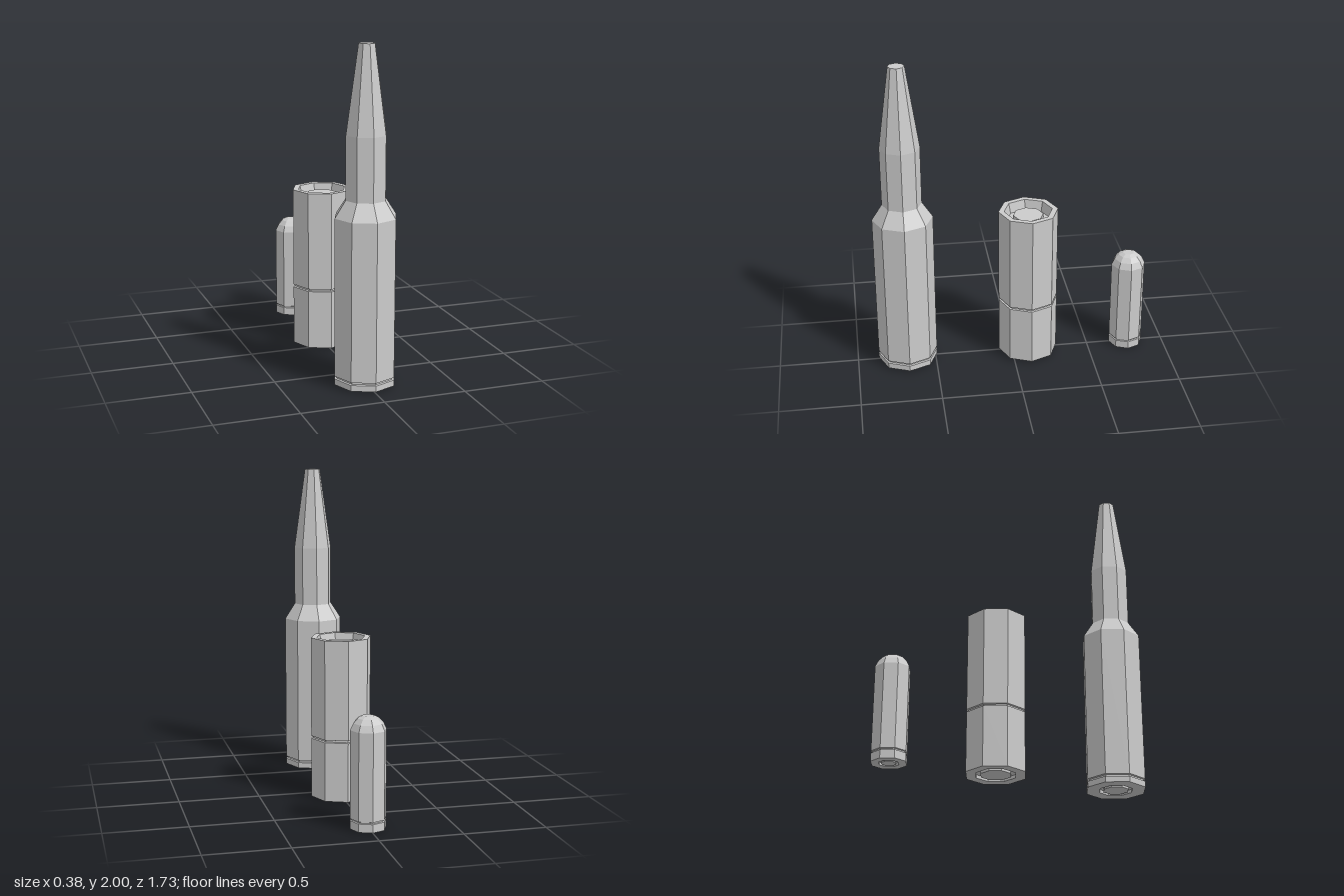
import * as THREE from 'three';

const material = new THREE.MeshStandardMaterial({ color: 0xcccccc, flatShading: true });

// Eight-sided turned part; profile runs from bottom to top as [radius, height]
function turned(name, profile) {
  const points = profile.map(([r, y]) => new THREE.Vector2(r, y));
  const mesh = new THREE.Mesh(new THREE.LatheGeometry(points, 8), material);
  mesh.name = name;
  return mesh;
}

// Base with a recessed ring around the primer, and the primer itself
const recess = (r, y, depth) => [[0, y + depth], [r, y + depth], [r, y]];
const primer = (r, y, depth) =>
  turned('primer', [[0, y], [r, y], [r, y + depth]]);

// Groove cut around the outside of a case
const groove = (r, y0, y1, cut) => [[r, y0], [r - cut, y0 + 0.003], [r - cut, y1 - 0.003], [r, y1]];

function round(name, z, parts) {
  const group = new THREE.Group();
  group.name = name;
  group.position.z = z;
  group.add(...parts);
  return group;
}

export function createModel() {
  const model = new THREE.Group();
  model.name = 'ammunition';

  // Long bottlenecked round
  model.add(round('rifleRound', 0.678, [
    turned('rifleCase', [
      ...recess(0.105, 0.01, 0.02), [0.188, 0.01],
      ...groove(0.188, 0.046, 0.062, 0.012),
      [0.188, 1.01], [0.123, 1.11],
    ]),
    turned('rifleBullet', [[0.123, 1.11], [0.123, 1.485], [0.05, 2], [0, 2]]),
    primer(0.08, 0.01, 0.02),
  ]));

  // Straight shell with an open mouth and an inner plug
  model.add(round('shotgunShell', -0.105, [
    turned('shellCase', [
      ...recess(0.125, 0.01, 0.02), [0.188, 0.01],
      ...groove(0.188, 0.38, 0.396, 0.012),
      [0.188, 1.01], [0.152, 1.01], [0.138, 0.945], [0, 0.945],
    ]),
    turned('shellPlug', [[0.095, 0.945], [0.095, 0.98], [0, 0.98]]),
    primer(0.095, 0.01, 0.02),
  ]));

  // Short round with a domed bullet
  model.add(round('pistolRound', -0.757, [
    turned('pistolCase', [
      ...recess(0.06, 0, 0.015), [0.108, 0],
      ...groove(0.108, 0.05, 0.062, 0.008),
      [0.108, 0.583],
    ]),
    turned('pistolBullet', [
      [0.108, 0.583], [0.089, 0.622], [0.063, 0.65], [0.035, 0.663], [0, 0.663],
    ]),
    primer(0.044, 0, 0.015),
  ]));

  return model;
}
